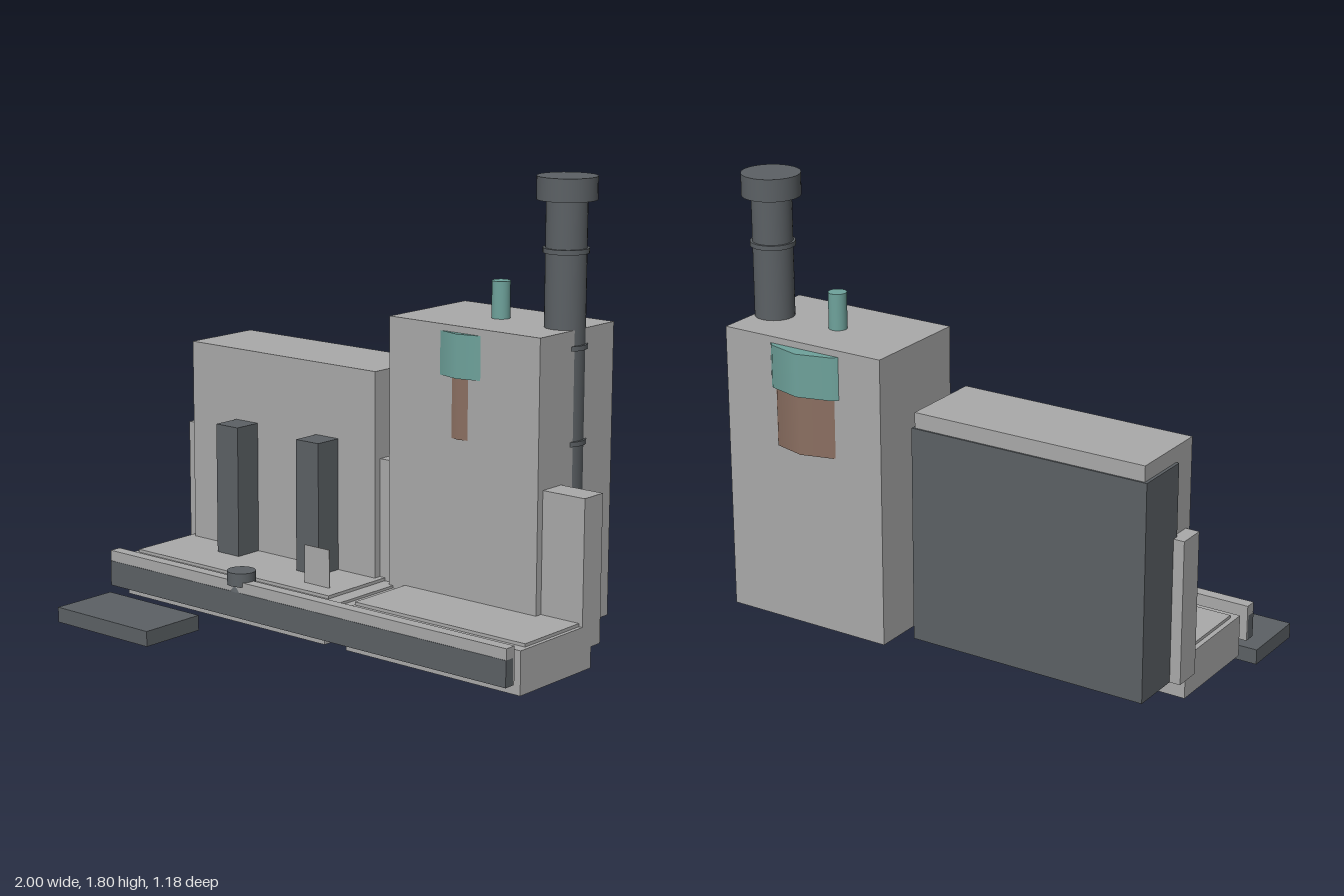
import * as THREE from 'three';

const material = (name, color) => Object.assign(new THREE.MeshStandardMaterial({ color }), { name });

export function createModel() {
  const light = material('light grey', 0xaaaaaa);
  const dark = material('dark grey', 0x5c6165);
  const teal = material('teal', 0x6fa39c);
  const brown = material('brown', 0x8c7062);

  const model = new THREE.Group();
  model.name = 'machine';

  const add = (name, geometry, mat) => {
    const mesh = new THREE.Mesh(geometry, mat);
    mesh.name = name;
    model.add(mesh);
    return mesh;
  };
  // box from its extents along each axis
  const box = (name, mat, [x0, x1], [y0, y1], [z0, z1]) =>
    add(name, new THREE.BoxGeometry(x1 - x0, y1 - y0, z1 - z0), mat)
      .position.set((x0 + x1) / 2, (y0 + y1) / 2, (z0 + z1) / 2);
  // upright cylinder between two heights
  const drum = (name, mat, x, z, r, y0, y1, sides = 32, rBottom = r) =>
    add(name, new THREE.CylinderGeometry(r, rBottom, y1 - y0, sides), mat)
      .position.set(x, (y0 + y1) / 2, z);

  // main housings
  box('tower', light, [0.115, 0.81], [0.13, 1.25], [-0.535, -0.085]);
  box('cabinet', light, [-0.91, 0.045], [0.13, 1.03], [-0.42, -0.085]);
  box('cabinetBackCover', dark, [-0.922, 0.055], [0.13, 0.97], [-0.427, -0.2]);
  box('wall', light, [-0.965, 0.995], [0.13, 0.69], [-0.225, -0.115]);

  // base platforms with raised pads and the joint between them
  box('leftBase', light, [-0.955, 0.085], [0.05, 0.215], [-0.17, 0.25]);
  box('rightBase', light, [0.19, 0.995], [0.05, 0.215], [-0.17, 0.25]);
  box('leftPad', light, [-0.935, 0.07], [0.2, 0.227], [-0.12, 0.21]);
  box('rightPad', light, [0.195, 0.98], [0.2, 0.227], [-0.12, 0.205]);
  box('jointStrip', light, [0.085, 0.135], [0.09, 0.215], [-0.17, 0.25]);
  box('jointFloor', light, [0.135, 0.19], [0.1, 0.205], [-0.17, 0.25]);

  // columns and small upright plate
  for (const x of [-0.617, -0.197]) {
    box('column', dark, [x - 0.057, x + 0.057], [0.2, 0.745], [-0.1, 0.03]);
  }
  box('uprightPlate', light, [-0.12, 0.005], [0.2, 0.375], [0.128, 0.132]);

  // front rail
  box('railFace', dark, [-0.968, 0.995], [0.1, 0.2], [0.293, 0.334]);
  box('railTop', light, [-0.968, 0.995], [0.2, 0.242], [0.285, 0.332]);
  box('railBack', light, [-0.968, 0.995], [0.1, 0.2], [0.285, 0.293]);

  // knob on the rail
  box('knobBracket', dark, [-0.335, -0.255], [0.13, 0.21], [0.25, 0.286]);
  drum('knobNeck', dark, -0.295, 0.295, 0.035, 0.2, 0.226, 24, 0.043);
  drum('knob', dark, -0.295, 0.295, 0.055, 0.225, 0.277);

  // foot plate
  box('footPlate', dark, [-1, -0.51], [0, 0.06], [0.31, 0.59]);

  // twelve-sided tank showing through the tower faces
  drum('tankCollar', teal, 0.45, -0.325, 0.265, 1.06, 1.225, 12);
  drum('tank', brown, 0.45, -0.325, 0.25, 0.83, 1.06, 12);
  drum('ventPipe', teal, 0.45, -0.325, 0.035, 1.2, 1.39, 24);

  // chimney, partly proud of the tower side
  drum('chimney', dark, 0.742, -0.325, 0.076, 0.545, 1.72);
  drum('chimneyCap', dark, 0.742, -0.325, 0.111, 1.715, 1.8);
  for (const y of [0.83, 1.183, 1.532]) {
    drum('chimneyRing', dark, 0.742, -0.325, 0.085, y - 0.009, y + 0.009);
  }

  return model;
}
